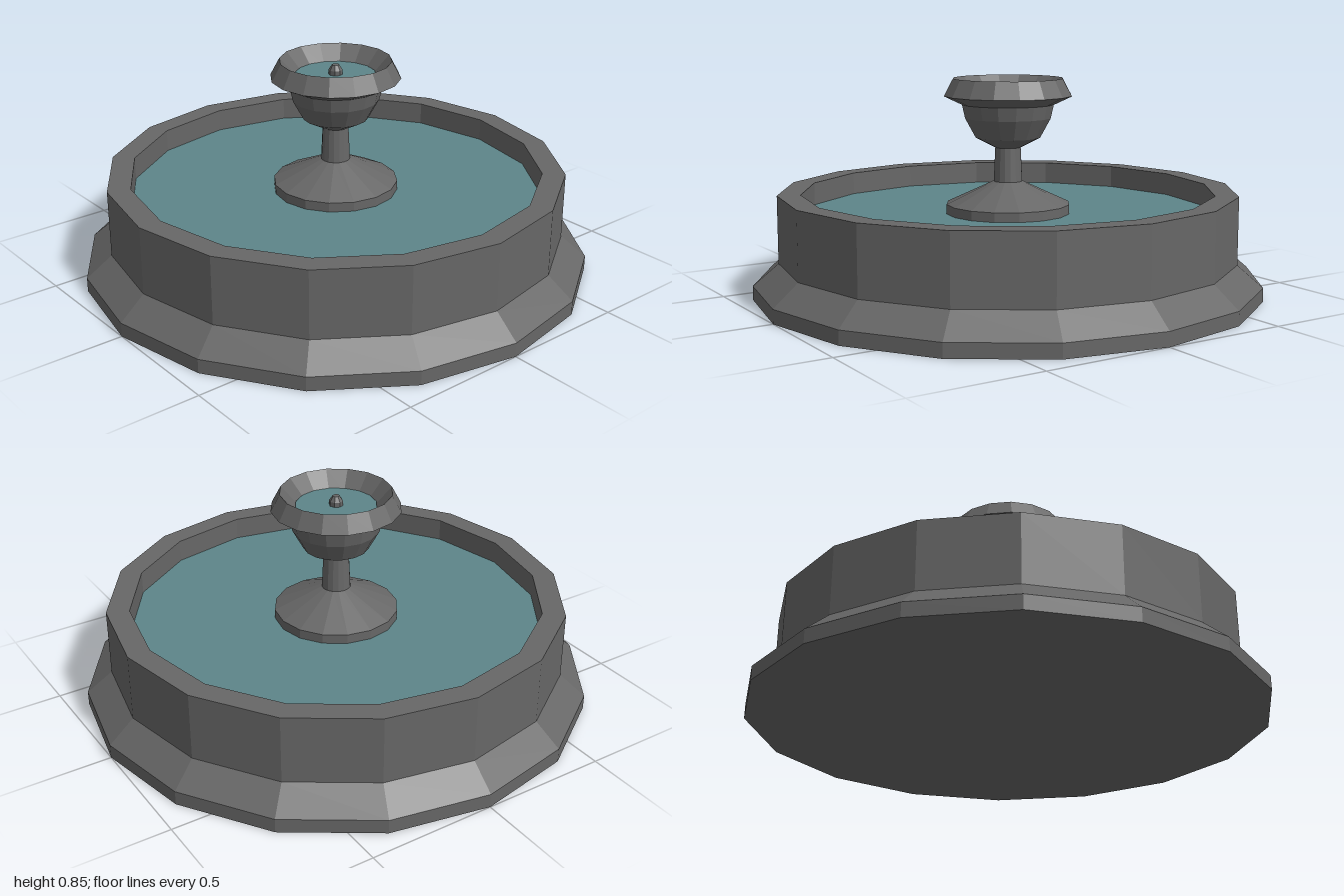
import * as THREE from 'three';

const SIDES = 16;
const stone = new THREE.MeshStandardMaterial({ color: 0x676767, flatShading: true });
const water = new THREE.MeshStandardMaterial({ color: 0x5d8589 });

// Turned stone part; the profile runs from the bottom, up the outside, then inward
function turned(name, profile, sides = SIDES) {
  const points = profile.map(([r, y]) => new THREE.Vector2(r, y));
  const mesh = new THREE.Mesh(new THREE.LatheGeometry(points, sides), stone);
  mesh.name = name;
  return mesh;
}

// Flat water surface
function pool(name, radius, y) {
  const mesh = new THREE.Mesh(new THREE.CircleGeometry(radius, SIDES), water);
  mesh.rotation.x = -Math.PI / 2;
  mesh.position.y = y;
  mesh.name = name;
  return mesh;
}

export function createModel() {
  const fountain = new THREE.Group();
  fountain.name = 'fountain';

  // Basin with a flared plinth, flat rim and inner wall
  fountain.add(turned('basin', [
    [0, 0], [1, 0], [1, 0.055], [0.9, 0.14], [0.9, 0.405],
    [0.81, 0.405], [0.81, 0.2], [0, 0.2],
  ]));
  fountain.add(pool('basinWater', 0.81, 0.315));

  // Pedestal: round foot with sloping top, then a slim stem
  fountain.add(turned('pedestal', [
    [0.245, 0.2], [0.245, 0.352], [0.057, 0.44], [0.05, 0.59],
  ]));

  // Bowl with an outward rim and a sloping inside
  fountain.add(turned('bowl', [
    [0, 0.573], [0.05, 0.573], [0.128, 0.613], [0.17, 0.69], [0.182, 0.743],
    [0.253, 0.777], [0.217, 0.845], [0.152, 0.775], [0, 0.775],
  ]));
  fountain.add(pool('bowlWater', 0.158, 0.787));

  // Small spout in the middle of the bowl
  fountain.add(turned('spout', [
    [0.027, 0.775], [0.027, 0.805], [0.014, 0.825], [0, 0.825],
  ], 8));

  return fountain;
}
